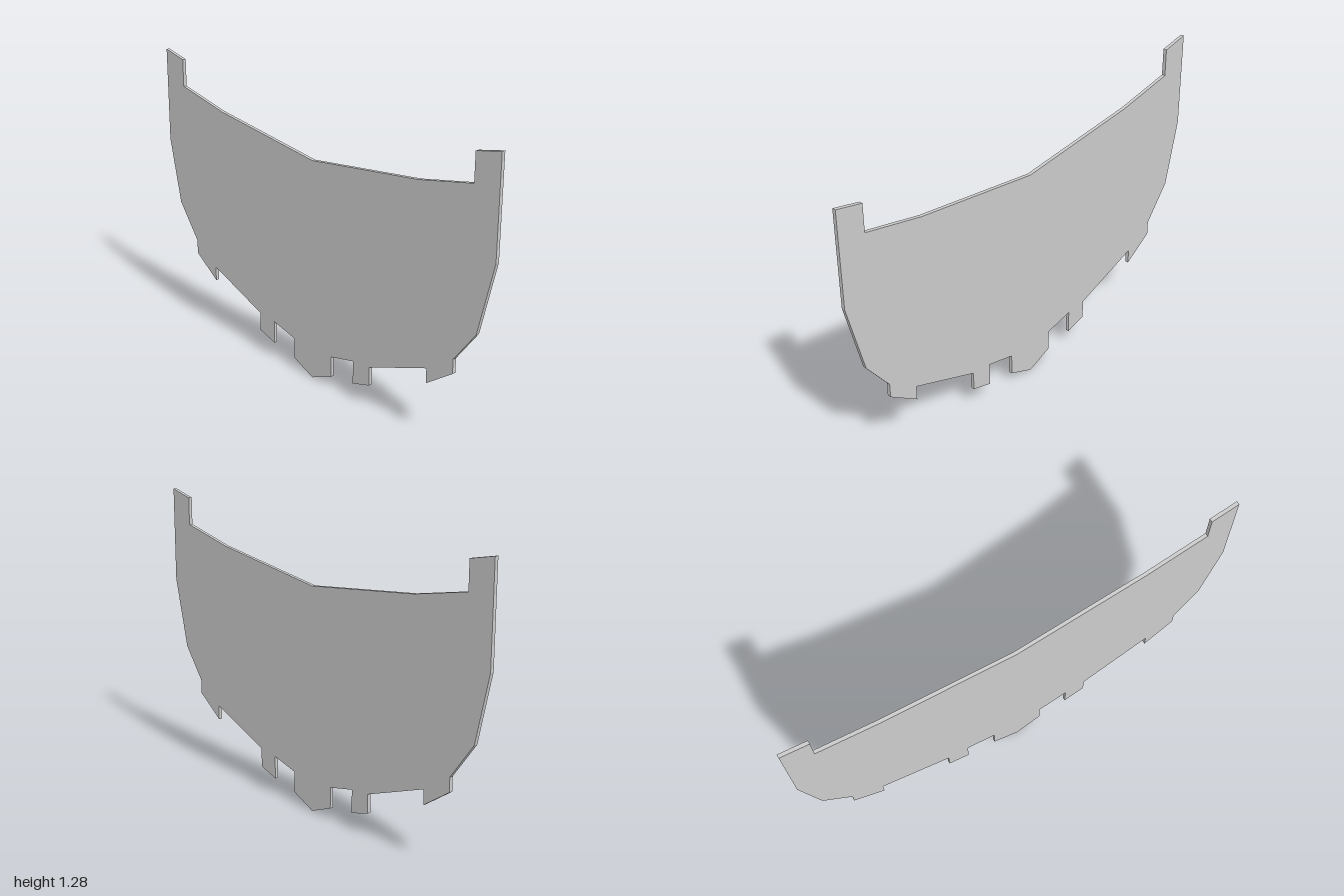
import * as THREE from 'three';

const THICKNESS = 0.016;

// Half outline from the bottom tip up to the top centre; the outer lower corner differs per side.
const halfOutline = (cornerX, cornerY) => [
  [0, 0], [0.12, 0.05], [0.12, 0.145],                     // centre tab
  [0.257, 0.177], [0.257, 0.073], [0.355, 0.102], [0.355, 0.187], // inner tab
  [0.677, 0.308], [0.677, 0.242], [0.815, 0.337], [0.815, 0.4],   // outer tab
  [cornerX, cornerY], [1, 0.855],                          // curved flank
  [1, 1.28], [0.878, 1.253], [0.878, 1.13],                // raised ear
  [0.6, 1.072], [0, 0.997],                                // sagging top edge
];

export function createModel() {
  const group = new THREE.Group();
  group.name = 'plate';

  // Left half going up, mirrored right half coming back down
  const left = halfOutline(0.924, 0.543);
  const right = halfOutline(0.934, 0.56).slice(1, -1).reverse().map(([x, y]) => [-x, y]);
  const shape = new THREE.Shape([...left, ...right].map(([x, y]) => new THREE.Vector2(x, y)));

  const geometry = new THREE.ExtrudeGeometry(shape, { depth: THICKNESS, bevelEnabled: false });
  geometry.translate(0, 0, -THICKNESS / 2);

  const panel = new THREE.Mesh(geometry, new THREE.MeshStandardMaterial({ color: 0xcccccc }));
  panel.name = 'tabbedPanel';
  group.add(panel);
  return group;
}
